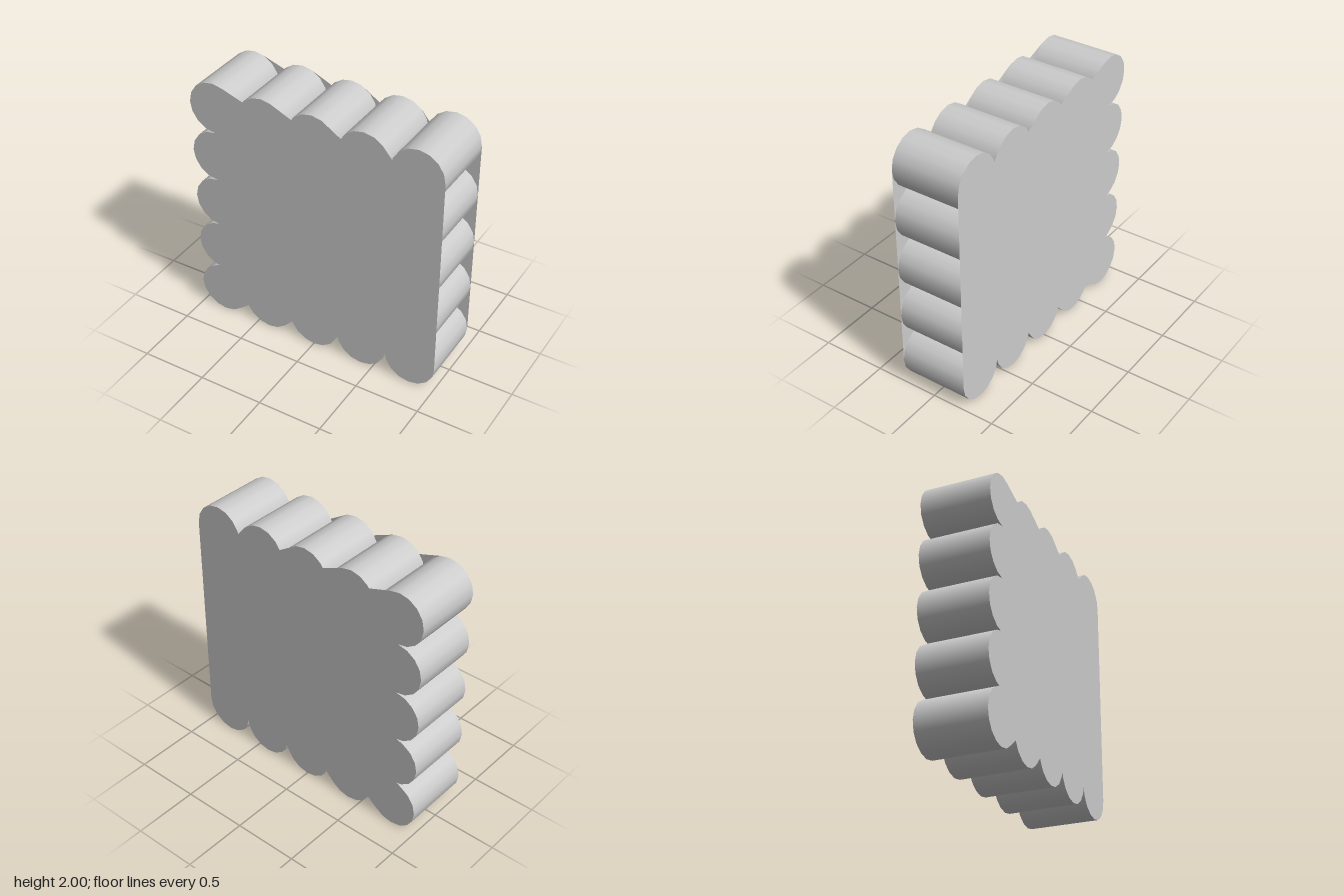
import * as THREE from 'three';

const R = 0.2, HALF_DEPTH = 0.265, STEP = Math.PI / 8;

// Scallops round the edge, anticlockwise: centre, start angle and sweep
function scallops() {
  const list = [];
  for (let side = 0; side < 4; side++) {
    const turn = side * Math.PI / 2;
    for (let i = 1; i <= 4; i++) {
      const along = -0.8 + i * 0.4;
      const c = new THREE.Vector2(0.8, along).rotateAround(new THREE.Vector2(), turn);
      list.push({
        x: c.x, y: c.y + 1,
        start: turn - Math.PI / 2,
        sweep: i === 4 ? Math.PI * 1.5 : Math.PI, // the last one rounds the corner
      });
    }
  }
  return list;
}

// Flat face fanned out from a hub on the right-hand edge
function faceGeometry(outline, z) {
  const hub = new THREE.Vector2(1, 1.4);
  const pos = [], normal = [], index = [];
  const dir = Math.sign(z);
  for (const p of [hub, ...outline]) {
    pos.push(p.x, p.y, z);
    normal.push(0, 0, dir);
  }
  const n = outline.length;
  for (let i = 0; i < n; i++) {
    const a = outline[i], b = outline[(i + 1) % n];
    const area = (a.x - hub.x) * (b.y - hub.y) - (a.y - hub.y) * (b.x - hub.x);
    if (Math.abs(area) < 1e-7) continue;
    // every triangle faces outwards
    const j = i + 1, k = (i + 1) % n + 1;
    if (area * dir > 0) index.push(0, j, k);
    else index.push(0, k, j);
  }
  const g = new THREE.BufferGeometry();
  g.setAttribute('position', new THREE.Float32BufferAttribute(pos, 3));
  g.setAttribute('normal', new THREE.Float32BufferAttribute(normal, 3));
  g.setIndex(index);
  return g;
}

export function createModel() {
  const model = new THREE.Group();
  model.name = 'scallopedBlock';
  const material = new THREE.MeshStandardMaterial({ color: 0xcccccc, side: THREE.DoubleSide });
  const outline = [];

  // Rounded edge walls
  const edge = new THREE.Group();
  edge.name = 'scallopedEdge';
  for (const { x, y, start, sweep } of scallops()) {
    const segments = Math.round(sweep / STEP);
    const g = new THREE.CylinderGeometry(R, R, HALF_DEPTH * 2, segments, 1, true, start + Math.PI / 2, sweep);
    g.rotateX(Math.PI / 2);
    const wall = new THREE.Mesh(g, material);
    wall.name = 'scallop';
    wall.position.set(x, y, 0);
    edge.add(wall);
    for (let i = 0; i < segments; i++) {
      const a = start + i * STEP;
      outline.push(new THREE.Vector2(x + R * Math.cos(a), y + R * Math.sin(a)));
    }
  }
  model.add(edge);

  // Front and back faces
  for (const [name, z] of [['frontFace', HALF_DEPTH], ['backFace', -HALF_DEPTH]]) {
    const face = new THREE.Mesh(faceGeometry(outline, z), material);
    face.name = name;
    model.add(face);
  }
  return model;
}
